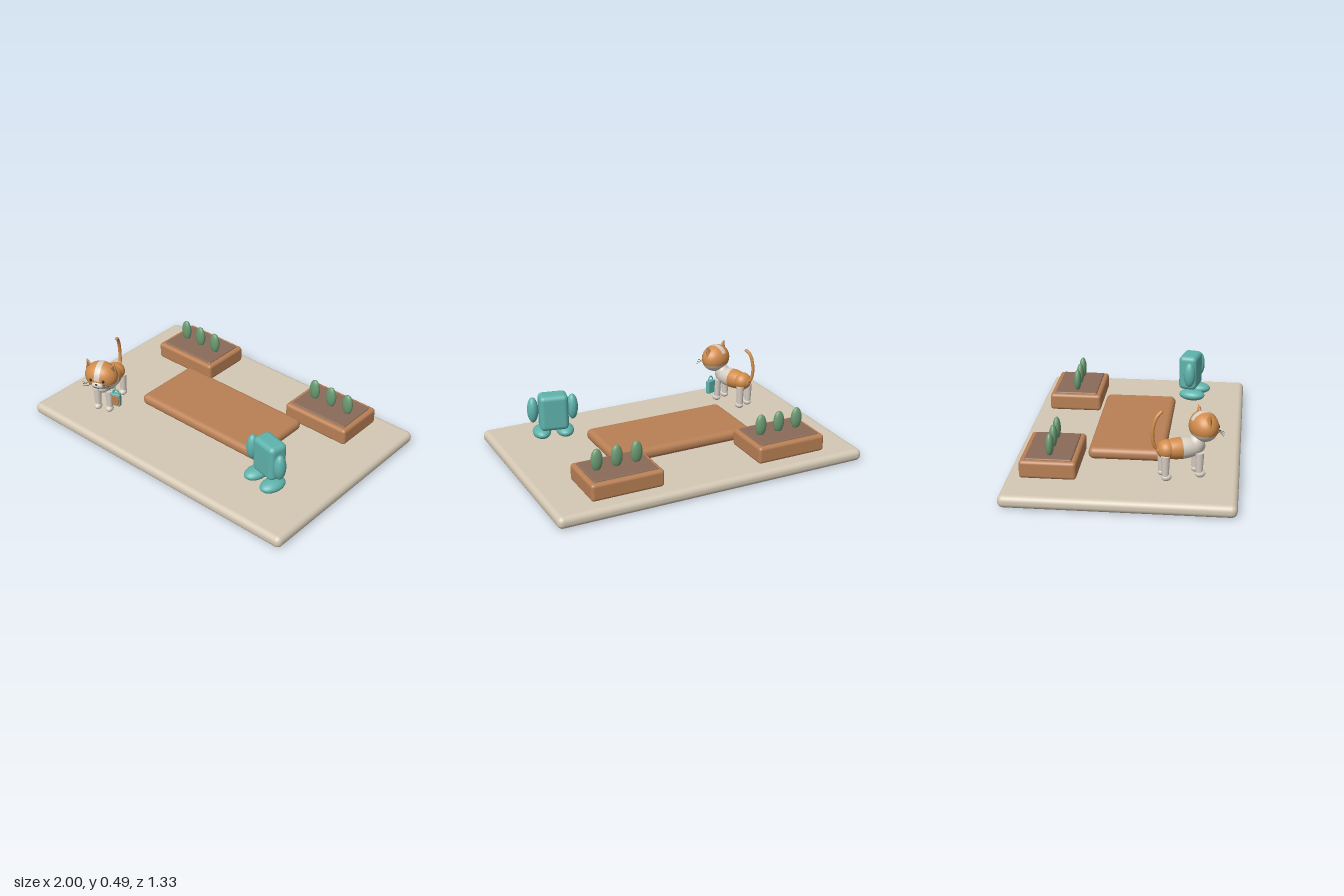
import * as THREE from 'three';
import { RoundedBoxGeometry } from 'three/addons/geometries/RoundedBoxGeometry.js';

const paint = (name, color) => {
  const m = new THREE.MeshStandardMaterial({ color });
  m.name = name;
  return m;
};

export function createModel() {
  const stone = paint('stone', 0xd4c8b4);
  const wood = paint('wood', 0xb98055);
  const soil = paint('soil', 0x8a6b58);
  const leaf = paint('leaf', 0x6b9a72);
  const teal = paint('teal', 0x5fb3ad);
  const orange = paint('orange fur', 0xd18c4b);
  const cream = paint('cream fur', 0xd8cfc4);
  const dark = paint('dark', 0x2e2826);

  const add = (parent, name, geo, mat, x = 0, y = 0, z = 0) => {
    const m = new THREE.Mesh(geo, mat);
    m.name = name;
    m.position.set(x, y, z);
    parent.add(m);
    return m;
  };
  const group = (parent, name, x, y, z, turn = 0) => {
    const g = new THREE.Group();
    g.name = name;
    g.position.set(x, y, z);
    g.rotation.y = turn;
    parent.add(g);
    return g;
  };
  const box = (w, h, d, r) => new RoundedBoxGeometry(w, h, d, 5, r);
  // Ellipsoid, optionally only a band between two polar angles
  const egg = (rx, ry, rz, from = 0, to = Math.PI) =>
    new THREE.SphereGeometry(1, 32, 20, 0, Math.PI * 2, from, to - from).scale(rx, ry, rz);

  const model = new THREE.Group();
  model.name = 'courtyard';

  // Ground slab and low platform
  add(model, 'slab', box(2, 0.075, 1.33, 0.034), stone, 0, 0.0375, 0);
  add(model, 'platform', box(0.935, 0.073, 0.455, 0.034), wood, 0, 0.119, 0);

  // Planters with three shrubs each
  for (const s of [-1, 1]) {
    const p = group(model, s < 0 ? 'rightPlanter' : 'leftPlanter', s * 0.54, 0, -0.418);
    add(p, 'planterBox', box(0.455, 0.107, 0.33, 0.02), wood, 0, 0.1365, 0);
    add(p, 'soilBed', box(0.4, 0.02, 0.272, 0.008), soil, 0, 0.188, 0);
    for (const i of [-1, 0, 1])
      add(p, 'shrub', egg(0.036, 0.07, 0.024), leaf, i * 0.125, 0.257, 0.001);
  }

  // Backpack-like figure: block body, side pods and feet
  const pack = group(model, 'backpack', 0.643, 0, 0.312, -0.21);
  add(pack, 'packBody', box(0.18, 0.23, 0.12, 0.03), teal, 0, 0.275, 0);
  for (const s of [-1, 1]) {
    add(pack, 'sidePod', egg(0.035, 0.083, 0.038), teal, s * 0.124, 0.282, 0.026);
    add(pack, 'foot', egg(0.056, 0.036, 0.085), teal, s * 0.073, 0.128, 0.032);
  }

  // Cat body: orange hindquarters, cream chest
  const cat = group(model, 'cat', -0.64, 0, 0.33, 0.35);
  const half = Math.PI / 2;
  add(cat, 'chest', egg(0.063, 0.145, 0.063, 0, half).rotateX(half), cream, 0, 0.258, 0);
  add(cat, 'hindquarters', egg(0.063, 0.145, 0.063, half).rotateX(half), orange, 0, 0.258, 0);
  add(cat, 'rump', egg(0.06, 0.056, 0.055), orange, 0, 0.26, -0.085);
  add(cat, 'neck', egg(0.05, 0.06, 0.05), cream, 0, 0.275, 0.09);
  for (const s of [-1, 1]) for (const z of [-0.1, 0.1]) {
    const leg = group(cat, z > 0 ? 'frontLeg' : 'hindLeg', s * 0.04, 0, z);
    add(leg, 'shin', new THREE.CylinderGeometry(0.026, 0.019, 0.13, 20), cream, 0, 0.17, 0);
    add(leg, 'paw', egg(0.024, 0.022, 0.03), cream, 0, 0.105, 0.006);
  }

  // Tail curving up behind the body
  const tailPath = new THREE.CatmullRomCurve3([
    [-0.672, 0.255, 0.225], [-0.69, 0.28, 0.19], [-0.70, 0.33, 0.176],
    [-0.70, 0.4, 0.178], [-0.69, 0.46, 0.197], [-0.674, 0.484, 0.22],
  ].map((p) => new THREE.Vector3(...p)));
  add(model, 'tail', new THREE.TubeGeometry(tailPath, 40, 0.0105, 12), orange);
  add(model, 'tailTip', egg(0.0105, 0.0105, 0.0105), orange, -0.674, 0.484, 0.22);

  // Head: orange cap, cream jaw, forehead stripe
  const head = group(model, 'head', -0.577, 0.372, 0.455, 0.42);
  const [rx, ry, rz] = [0.105, 0.089, 0.083];
  add(head, 'headCap', egg(rx, ry, rz, 0, 1.93), orange);
  add(head, 'jaw', egg(rx, ry, rz, 1.93), cream);
  const stripe = new THREE.SphereGeometry(1.012, 40, 6, 0, 2.6, half - 0.17, 0.34);
  stripe.rotateZ(-half).rotateX(Math.PI);
  // Lay the band over the crown, running from the nose to the back of the head
  stripe.computeBoundingBox();
  const mid = stripe.boundingBox.getCenter(new THREE.Vector3());
  stripe.rotateX(Math.atan2(mid.z, mid.y) * -1 + 0.38).scale(rx, ry, rz);
  stripe.computeVertexNormals();
  const stripeMat = cream;
  add(head, 'foreheadStripe', stripe, stripeMat);
  add(head, 'muzzle', egg(0.04, 0.026, 0.024), cream, 0, -0.03, 0.07);
  add(head, 'nose', egg(0.009, 0.006, 0.005), dark, 0, -0.016, 0.092);

  for (const s of [-1, 1]) {
    // Ears with darker inner faces
    const ear = group(head, 'ear', s * 0.08, 0.068, 0);
    ear.rotation.z = -s * 0.3;
    add(ear, 'earShell', new THREE.ConeGeometry(0.034, 0.075, 24).scale(1, 1, 0.5), orange);
    add(ear, 'innerEar', new THREE.ConeGeometry(0.024, 0.055, 24).scale(1, 1, 0.4), soil, 0, -0.004, 0.009);
    // Eyes, mouth and whiskers
    add(head, 'eye', egg(0.009, 0.011, 0.005), dark, s * 0.04, 0.003, 0.076);
    const smile = add(head, 'mouth', new THREE.TorusGeometry(0.009, 0.0015, 6, 14, Math.PI), dark,
      s * 0.009, -0.03, 0.093);
    smile.rotation.z = Math.PI;
    for (const i of [-1, 0, 1]) {
      const w = add(head, 'whisker', new THREE.CylinderGeometry(0.001, 0.001, 0.06, 6).rotateZ(half), dark,
        s * 0.062, -0.027 + i * 0.009, 0.084);
      w.rotation.set(0, -s * 0.15, s * i * 0.15);
    }
  }

  // Small carried bag with a front panel and handle
  const bag = group(model, 'bag', -0.513, 0.193, 0.405, 0.35);
  add(bag, 'bagBody', box(0.062, 0.088, 0.03, 0.006), teal);
  add(bag, 'bagPanel', box(0.046, 0.07, 0.009, 0.003), wood, 0.002, 0, 0.015);
  add(bag, 'bagHandle', new THREE.TorusGeometry(0.021, 0.004, 10, 24, Math.PI).scale(1, 1.4, 1), teal, 0, 0.042, 0);

  return model;
}
